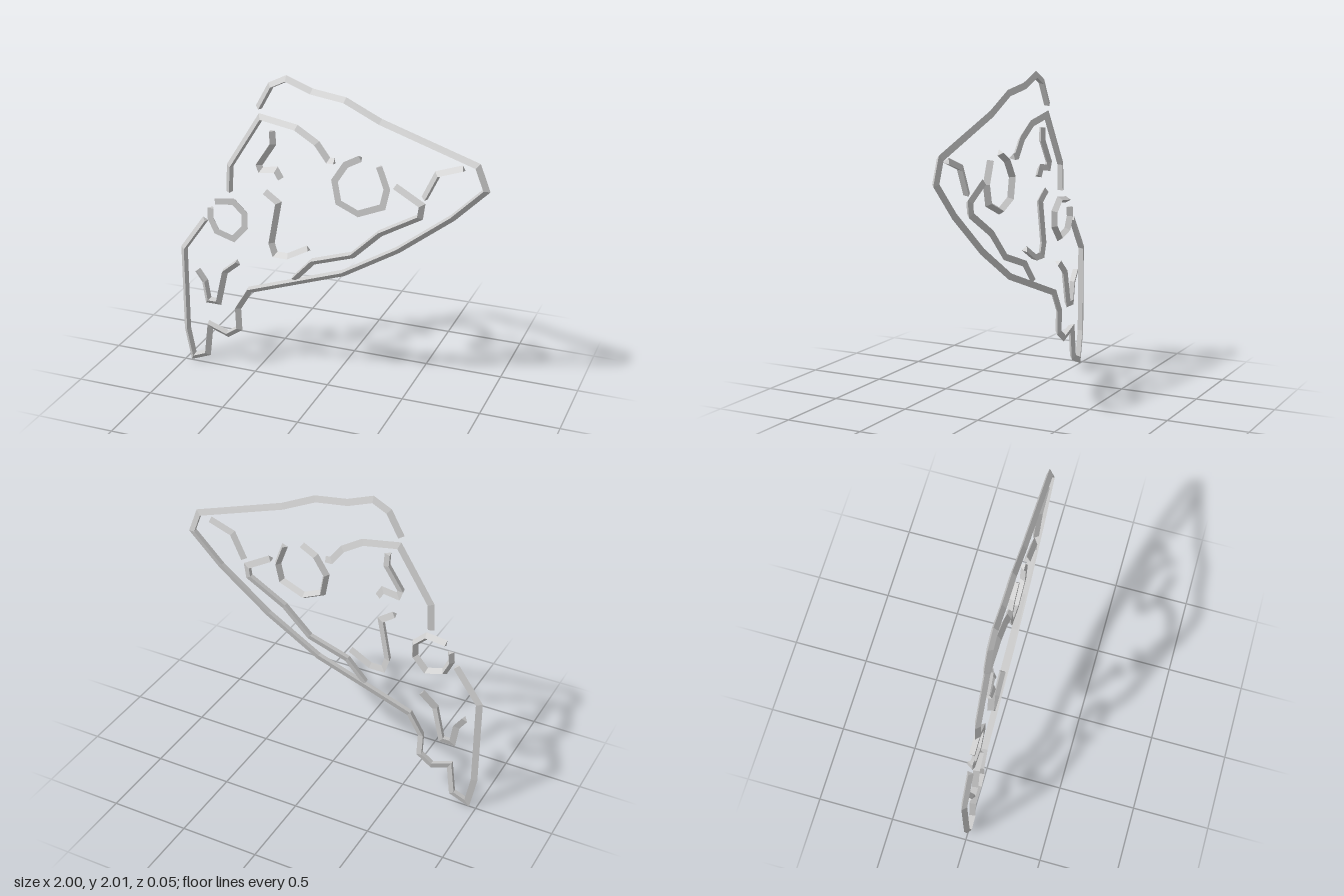
import * as THREE from 'three';

const RADIUS = 0.0235;

// Mitred three-sided bar along a flat path; its ridge points to the left of travel.
function bar(points, tiltDegrees) {
  const pts = points.map(([x, y]) => new THREE.Vector2(x, y));
  const last = pts.length - 1;
  const leftOf = (a, b) => {
    const d = b.clone().sub(a).normalize();
    return new THREE.Vector2(-d.y, d.x);
  };

  // One triangular ring per path point
  const rings = pts.map((p, k) => {
    const before = leftOf(pts[Math.max(k - 1, 0)], pts[Math.max(k, 1)]);
    const after = leftOf(pts[Math.min(k, last - 1)], pts[Math.min(k + 1, last)]);
    const miter = before.clone().add(after).divideScalar(1 + before.dot(after));
    return [0, 1, 2].map((i) => {
      const a = THREE.MathUtils.degToRad(tiltDegrees + i * 120);
      const out = Math.cos(a) * RADIUS;
      return [p.x + miter.x * out, p.y + miter.y * out, Math.sin(a) * RADIUS];
    });
  });

  const positions = [];
  const tri = (a, b, c) => positions.push(...a, ...b, ...c);
  for (let k = 0; k < last; k++) {
    const r = rings[k], s = rings[k + 1];
    for (let i = 0; i < 3; i++) {
      const j = (i + 1) % 3;
      tri(r[i], r[j], s[j]);
      tri(r[i], s[j], s[i]);
    }
  }
  // End caps
  tri(rings[0][2], rings[0][1], rings[0][0]);
  tri(...rings[last]);

  const geometry = new THREE.BufferGeometry();
  geometry.setAttribute('position', new THREE.Float32BufferAttribute(positions, 3));
  geometry.computeVertexNormals();
  return geometry;
}

const EDGE = -12; // ridge turned sideways, leaning slightly back
const FLAT = 30;  // flat face turned to the front

const parts = [
  // Outer contour of the slice, clockwise from the crust end
  { name: 'sliceOutline', tilt: EDGE, path: [
    [-0.44, 1.785], [-0.36, 1.93], [-0.26, 1.98], [-0.1, 1.92], [0.11, 1.89], [0.33, 1.785],
    [0.92, 1.59], [0.975, 1.45], [0.78, 1.255], [0.45, 1.0], [0.1, 0.79], [-0.53, 0.57],
    [-0.615, 0.43], [-0.61, 0.285], [-0.69, 0.23], [-0.815, 0.275], [-0.84, 0.065],
    [-0.94, 0.025], [-0.977, 0.22], [-0.977, 0.79], [-0.82, 1.01]] },
  // Inner crust lines
  { name: 'upperCrustLine', tilt: EDGE, path: [
    [-0.648, 1.22], [-0.64, 1.39], [-0.43, 1.725], [-0.2, 1.685], [-0.07, 1.605],
    [0.005, 1.505], [0.045, 1.505]] },
  { name: 'lowerCrustLine', tilt: EDGE, path: [
    [0.425, 1.4], [0.59, 1.305], [0.58, 1.23], [0.335, 1.09], [0.16, 0.92],
    [-0.1, 0.835], [-0.225, 0.7]] },
  { name: 'crustCornerLine', tilt: EDGE, path: [[0.61, 1.35], [0.685, 1.51], [0.84, 1.565]] },
  // Round toppings
  { name: 'largeTopping', tilt: FLAT, path: [
    [0.33, 1.515], [0.38, 1.38], [0.355, 1.265], [0.2, 1.2], [0.075, 1.255],
    [0.05, 1.39], [0.12, 1.5], [0.21, 1.55]] },
  { name: 'smallTopping', tilt: FLAT, path: [
    [-0.745, 1.145], [-0.62, 1.16], [-0.545, 1.09], [-0.545, 1.0], [-0.625, 0.91],
    [-0.74, 0.945], [-0.78, 1.03], [-0.775, 1.095]] },
  // Short strokes on the cheese
  { name: 'upperStroke', tilt: EDGE, path: [
    [-0.36, 1.65], [-0.355, 1.57], [-0.45, 1.425], [-0.435, 1.385], [-0.335, 1.4], [-0.305, 1.35]] },
  { name: 'middleStroke', tilt: EDGE, path: [
    [-0.41, 1.25], [-0.325, 1.19], [-0.375, 0.92], [-0.35, 0.84], [-0.26, 0.84], [-0.125, 0.915]] },
  { name: 'lowerStroke', tilt: EDGE, path: [
    [-0.605, 0.75], [-0.7, 0.67], [-0.75, 0.45], [-0.82, 0.45], [-0.84, 0.58], [-0.89, 0.65]] },
];

export function createModel() {
  const group = new THREE.Group();
  group.name = 'pizzaSliceOutline';
  const material = new THREE.MeshStandardMaterial({ color: 0xcccccc, flatShading: true });
  for (const { name, tilt, path } of parts) {
    const mesh = new THREE.Mesh(bar(path, tilt), material);
    mesh.name = name;
    group.add(mesh);
  }
  return group;
}
